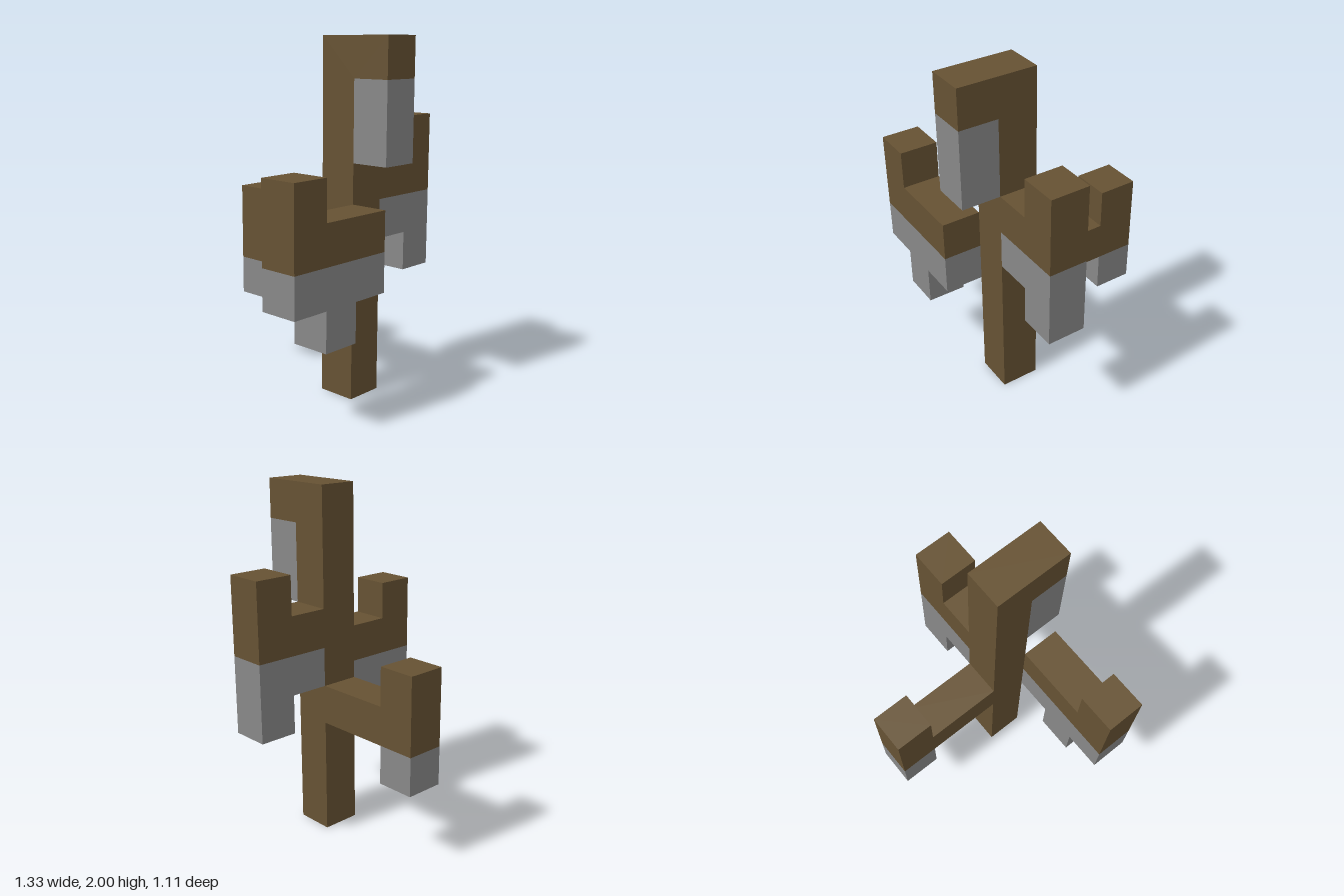
import * as THREE from 'three';

const U = 2 / 9; // side of one block

export function createModel() {
  const brown = new THREE.MeshStandardMaterial({ color: 0x665233 });
  brown.name = 'brown bark';
  const grey = new THREE.MeshStandardMaterial({ color: 0x888888 });
  grey.name = 'grey underside';

  const model = new THREE.Group();
  model.name = 'blockTree';

  const group = (name) => {
    const g = new THREE.Group();
    g.name = name;
    model.add(g);
    return g;
  };

  // Extrudes a profile, given in blocks, one block deep
  const slab = (points) => {
    const shape = new THREE.Shape(points.map(([a, b]) => new THREE.Vector2(a * U, b * U)));
    return new THREE.ExtrudeGeometry(shape, { depth: U, bevelEnabled: false });
  };

  const add = (parent, name, geometry, material) => {
    const mesh = new THREE.Mesh(geometry, material);
    mesh.name = name;
    parent.add(mesh);
  };

  // Profile in x and y, starting at depth z
  const across = (points, z) => slab(points).translate(0, 0, z * U);
  // Profile in z and y, filling x from 0 to 1 block
  const along = (points) => slab(points).rotateY(-Math.PI / 2).translate(U, 0, 0);

  // Trunk with a hook at the top that carries a hanging block
  const trunk = group('trunk');
  add(trunk, 'trunkAndHook', along([[0.5, 0], [1.5, 0], [1.5, 8], [2.5, 8], [2.5, 9], [0.5, 9]]), brown);
  add(trunk, 'hangingTip', along([[1.5, 6], [2.5, 6], [2.5, 8], [1.5, 8]]), grey);

  // Left arm, level with the trunk
  const left = group('leftArm');
  add(left, 'leftArmTop', across([[1, 5], [3, 5], [3, 7], [2, 7], [2, 6], [1, 6]], 0.5), brown);
  add(left, 'leftArmUnderside', across([[1, 4], [2, 4], [2, 3], [3, 3], [3, 5], [1, 5]], 0.5), grey);

  // Right arm, one block in front of the trunk
  const right = group('rightArm');
  add(right, 'rightArmTop', across([[-3, 4], [0, 4], [0, 5], [-2, 5], [-2, 6], [-3, 6]], 1.5), brown);
  add(right, 'rightArmUnderside',
    across([[-3, 3], [-2, 3], [-2, 2], [-1, 2], [-1, 3], [0, 3], [0, 4], [-3, 4]], 1.5), grey);

  // Back arm
  const back = group('backArm');
  add(back, 'backArmTop', along([[-2.5, 3], [0.5, 3], [0.5, 4], [-1.5, 4], [-1.5, 5], [-2.5, 5]]), brown);
  add(back, 'backArmTip', along([[-2.5, 2], [-1.5, 2], [-1.5, 3], [-2.5, 3]]), grey);

  return model;
}
